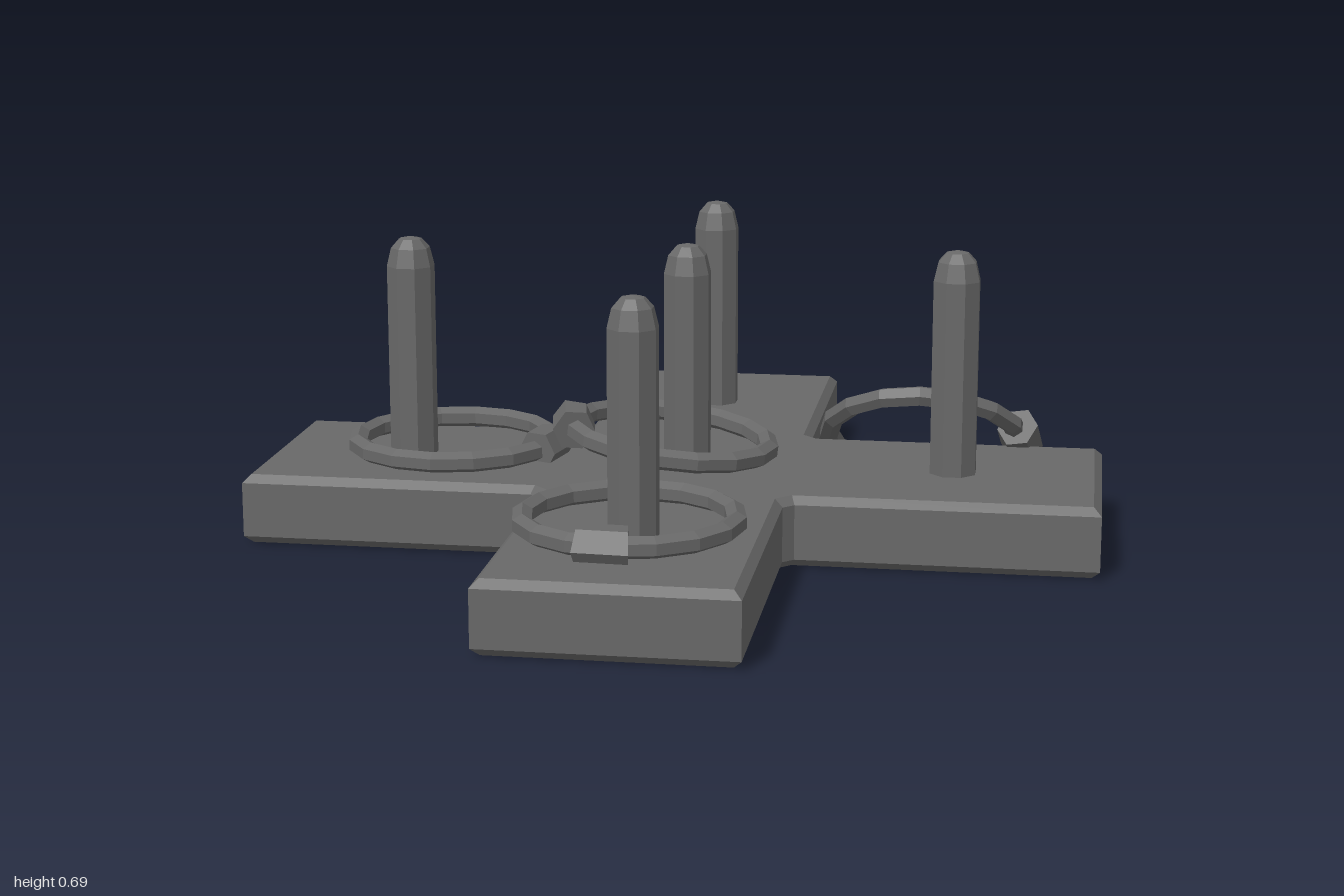
import * as THREE from 'three';

const material = new THREE.MeshStandardMaterial({ color: 0x686868, flatShading: true });

function part(name, geometry) {
  const mesh = new THREE.Mesh(geometry, material);
  mesh.name = name;
  return mesh;
}

// Cross-shaped board with bevelled rims and small chamfers in the inner corners
function createBase() {
  const l = -0.28, r = 0.275, b = -0.3, f = 0.27, c = 0.024;
  const xMin = -0.983, xMax = 0.98, zMin = -1, zMax = 1;
  const bevel = 0.018, top = 0.17, height = 0.163;
  const outline = [
    [l, zMin], [r, zMin], [r, b - c], [r + c, b],
    [xMax, b], [xMax, f], [r + c, f], [r, f + c],
    [r, zMax], [l, zMax], [l, f + c], [l - c, f],
    [xMin, f], [xMin, b], [l - c, b], [l, b - c],
  ];
  const shape = new THREE.Shape(outline.map(([x, z]) => new THREE.Vector2(x, z)));
  const geometry = new THREE.ExtrudeGeometry(shape, {
    depth: height - 2 * bevel, bevelThickness: bevel,
    bevelSize: bevel, bevelOffset: -bevel, bevelSegments: 1,
  });
  geometry.rotateX(Math.PI / 2).translate(0, top - bevel, 0);
  return part('base', geometry);
}

// Eight-sided peg with a domed tip
function createPeg(x, z) {
  const profile = [[0.0565, 0.15], [0.0565, 0.622], [0.046, 0.665], [0.027, 0.686], [0, 0.692]];
  const geometry = new THREE.LatheGeometry(
    profile.map(([r, y]) => new THREE.Vector2(r, y)), 8, Math.PI / 8);
  const peg = part('peg', geometry);
  peg.position.set(x, 0, z);
  return peg;
}

// Throwing ring with a hexagonal sleeve over its joint at the given angle
function createRing([x, y, z], jointAngle, tiltX = 0, tiltZ = 0) {
  const R = 0.233, tube = 0.025;
  const ring = new THREE.Group();
  ring.name = 'ring';

  // hoop: hexagonal section with a ridge along the top and bottom
  const section = [];
  for (let i = 0; i <= 6; i++) {
    const a = (i - 0.5) * Math.PI / 3;
    section.push(new THREE.Vector2(R + tube * Math.cos(a), tube * Math.sin(a)));
  }
  ring.add(part('hoop', new THREE.LatheGeometry(section, 16)));

  const sleeve = new THREE.CylinderGeometry(0.05, 0.05, 0.1, 6, 1, false, Math.PI / 6);
  sleeve.rotateX(Math.PI / 2).translate(R, 0, 0);
  // widen the sleeve away from the ring's centre
  const p = sleeve.attributes.position;
  for (let i = 0; i < p.count; i++) p.setZ(i, p.getZ(i) * p.getX(i) / R);
  sleeve.rotateY(-jointAngle);
  ring.add(part('ringSleeve', sleeve));

  ring.position.set(x, y, z);
  ring.rotation.set(tiltX, 0, tiltZ);
  return ring;
}

export function createModel() {
  const model = new THREE.Group();
  model.name = 'ringTossGame';
  model.add(createBase());

  const pegs = [[-0.643, -0.01], [0.015, -0.01], [0.637, -0.01], [-0.005, -0.65], [-0.005, 0.63]];
  for (const [x, z] of pegs) model.add(createPeg(x, z));

  model.add(
    createRing([-0.555, 0.193, -0.06], 0.2),                     // flat, left arm
    createRing([-0.03, 0.222, -0.06], Math.PI - 0.2, 0, -0.12),  // resting on its neighbour
    createRing([-0.024, 0.193, 0.575], Math.PI / 2 + 0.05),      // flat, front arm
    createRing([0.55, 0.172, -0.337], 0.1, -0.66),               // leaning on the board's edge
  );
  return model;
}
